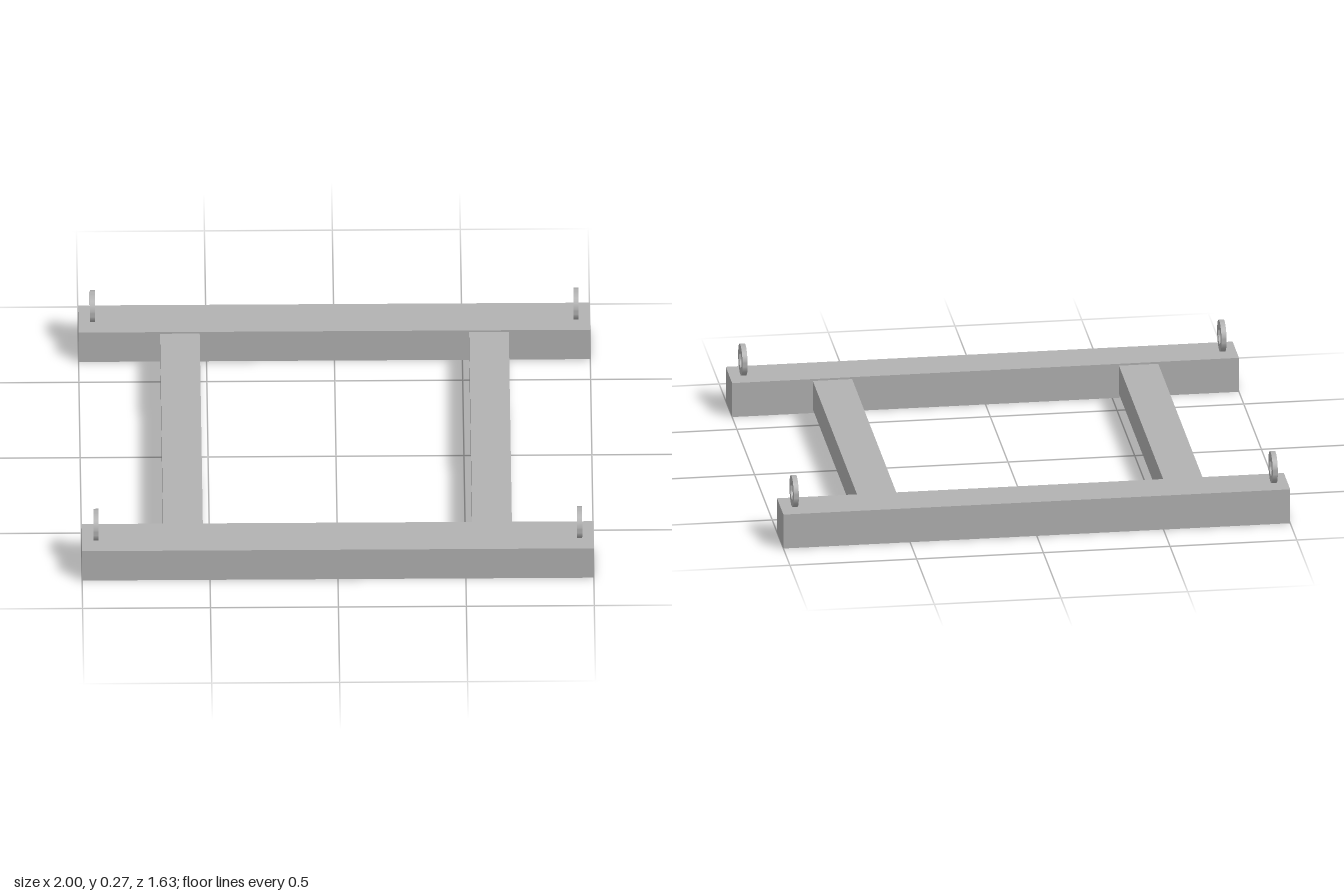
import * as THREE from 'three';
import { toCreasedNormals } from 'three/addons/utils/BufferGeometryUtils.js';

export function createModel() {
  const model = new THREE.Group();
  model.name = 'liftingFrame';
  const steel = new THREE.MeshStandardMaterial({ color: 0xb2b2b2 });
  steel.name = 'greySteel';

  const add = (name, geometry, x, y, z) => {
    const mesh = new THREE.Mesh(geometry, steel);
    mesh.name = name;
    mesh.position.set(x, y, z);
    model.add(mesh);
  };

  // Flat lifting ring, standing in the YZ plane
  const ringThickness = 0.02;
  const ringShape = new THREE.Shape().absarc(0, 0, 0.0625, 0, Math.PI * 2);
  ringShape.holes.push(new THREE.Path().absarc(0, 0, 0.033, 0, Math.PI * 2, true));
  const ring = toCreasedNormals(
    new THREE.ExtrudeGeometry(ringShape, { depth: ringThickness, bevelEnabled: false, curveSegments: 24 })
      .translate(0, 0, -ringThickness / 2)
      .rotateY(Math.PI / 2),
    Math.PI / 5
  );

  const rail = new THREE.BoxGeometry(2, 0.142, 0.18);
  const crossbar = new THREE.BoxGeometry(0.155, 0.118, 1.27);

  // Long rails at front and back, each with a ring near both ends
  for (const [end, sz] of [['front', 1], ['back', -1]]) {
    add(`${end}Rail`, rail, 0, 0.071, sz * 0.725);
    for (const [side, sx] of [['Left', 1], ['Right', -1]]) {
      add(`${end}${side}LiftingRing`, ring, sx * 0.945, 0.204, sz * 0.725);
    }
  }

  // Slightly shallower crossbars between the rails
  add('leftCrossbar', crossbar, 0.604, 0.075, 0);
  add('rightCrossbar', crossbar, -0.604, 0.075, 0);

  return model;
}
